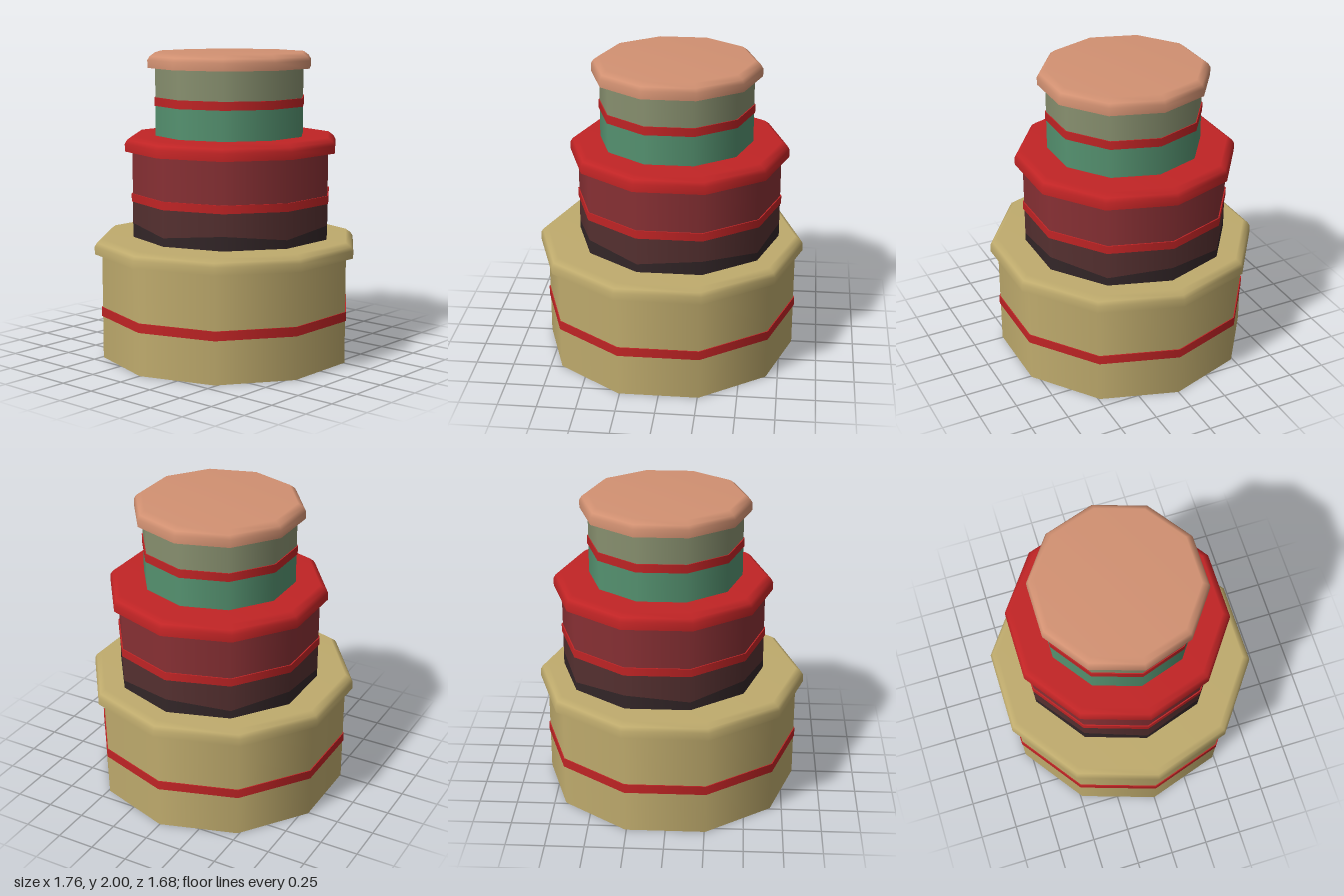
import * as THREE from 'three';

const SIDES = 10;
const mat = (name, color) => {
  const m = new THREE.MeshStandardMaterial({ color });
  m.name = name;
  return m;
};

// Ten-sided turned part; a repeated profile point makes a sharp edge
function turned(name, points, material) {
  const profile = points.map(([r, y]) => new THREE.Vector2(r, y));
  const mesh = new THREE.Mesh(new THREE.LatheGeometry(profile, SIDES, Math.PI / 2), material);
  mesh.name = name;
  return mesh;
}

const wall = (name, r, y0, y1, material) => turned(name, [[r, y0], [r, y1]], material);

// Raised ribbon with flat top and bottom edges
const ribbon = (r, y0, y1, material) => turned('ribbon',
  [[r - 0.03, y0], [r, y0], [r, y0], [r, y1], [r, y1], [r - 0.03, y1]], material);

// Lid with a softly rounded top rim
const lid = (r, y0, y1, material) => turned('lid', [
  [0, y0], [r, y0], [r, y0], [r, y0 + 0.05],
  [r - 0.015, y1 - 0.025], [r - 0.05, y1], [0, y1],
], material);

// Zigzag a ring of vertices lying at height y
function zigzag(mesh, y, amount) {
  const p = mesh.geometry.attributes.position;
  const rows = p.count / (SIDES + 1);
  for (let i = 0; i < p.count; i++) {
    if (Math.abs(p.getY(i) - y) > 1e-4) continue;
    const column = Math.floor(i / rows);
    p.setY(i, y + (column % 2 ? -amount : amount));
  }
  return mesh;
}

function tier(name, x, parts) {
  const g = new THREE.Group();
  g.name = name;
  g.position.x = x;
  g.add(...parts);
  return g;
}

export function createModel() {
  const beige = mat('beige', 0xbfab6d);
  const red = mat('red', 0xc12425);
  const darkRed = mat('dark red', 0x883034);
  const brown = mat('brown', 0x553030);
  const nearBlack = mat('near black', 0x332628);
  const green = mat('green', 0x559270);
  const sage = mat('sage', 0x88906f);
  const salmon = mat('salmon', 0xd29172);

  const model = new THREE.Group();
  model.name = 'stackedBoxes';

  // Large box with a closed base
  model.add(tier('bottomBox', 0, [
    turned('body', [[0, 0], [0.833, 0], [0.833, 0], [0.833, 0.7]], beige),
    ribbon(0.84, 0.28, 0.34, red),
    lid(0.882, 0.695, 0.795, beige),
  ]));

  // Middle box with a zigzag dark foot
  model.add(tier('middleBox', 0.055, [
    zigzag(wall('foot', 0.666, 0.78, 0.868, nearBlack), 0.868, 0.019),
    zigzag(wall('lowerWall', 0.666, 0.868, 1.055, brown), 0.868, 0.019),
    wall('upperWall', 0.666, 1.055, 1.37, darkRed),
    ribbon(0.674, 1.03, 1.083, red),
    lid(0.716, 1.36, 1.46, red),
  ]));

  // Small box on top
  model.add(tier('topBox', 0.037, [
    wall('lowerWall', 0.499, 1.45, 1.68, green),
    wall('upperWall', 0.499, 1.68, 1.91, sage),
    ribbon(0.506, 1.655, 1.71, red),
    lid(0.55, 1.9, 2.0, salmon),
  ]));

  return model;
}
